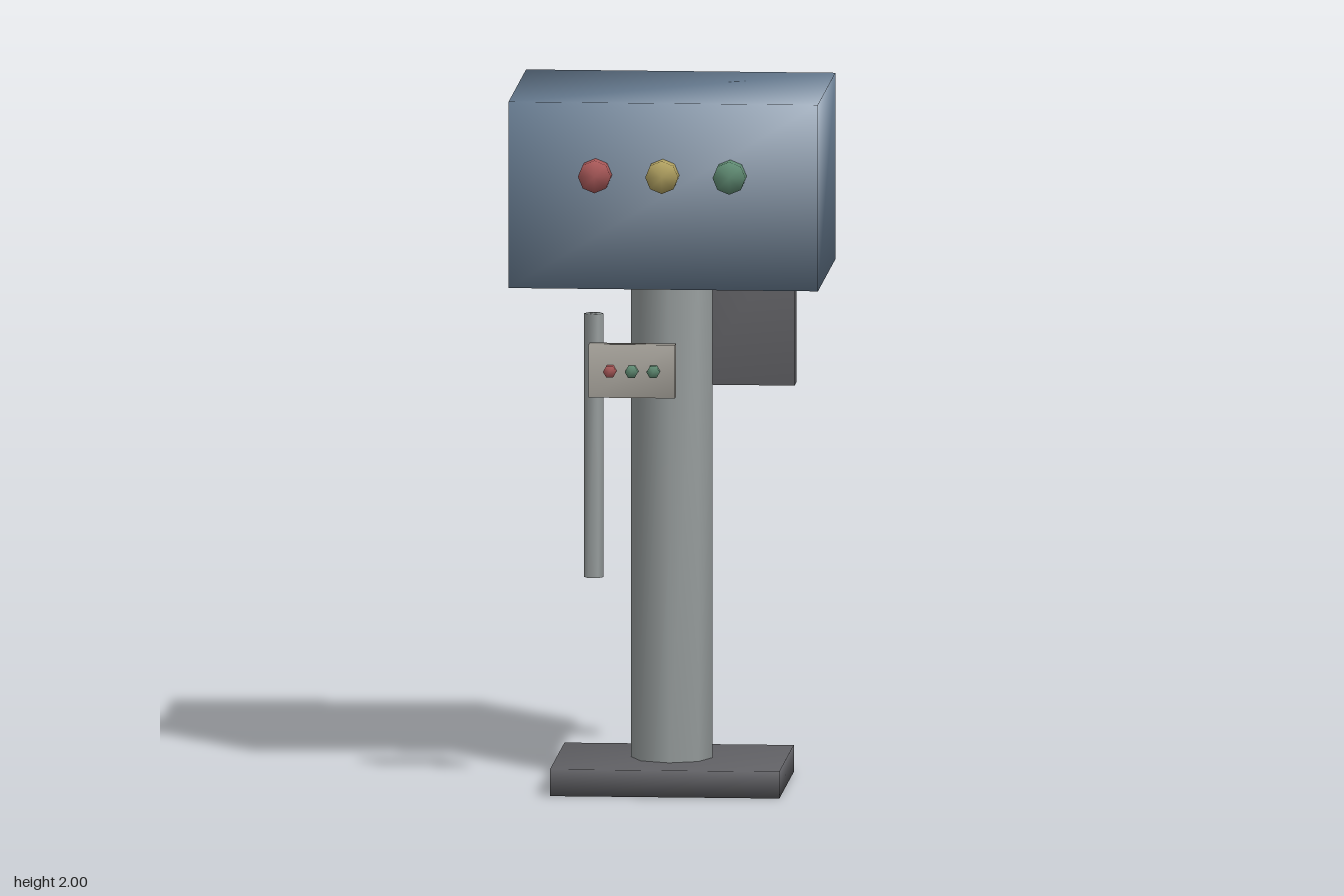
import * as THREE from 'three';
import { mergeVertices } from 'three/addons/utils/BufferGeometryUtils.js';

const material = (color) => new THREE.MeshStandardMaterial({ color });
const blue = material(0x6b8096), steel = material(0x969c9c), dark = material(0x606064);
const pale = material(0xaaa69e), red = material(0xa85858), yellow = material(0xb0a060), green = material(0x5f8a72);

// Share corners between faces so the shading runs softly round every edge
function soften(geometry) {
  geometry.deleteAttribute('normal');
  geometry.deleteAttribute('uv');
  const merged = mergeVertices(geometry, 1e-4);
  merged.computeVertexNormals();
  return merged;
}

function part(name, geometry, mat, x, y, z) {
  const mesh = new THREE.Mesh(soften(geometry), mat);
  mesh.name = name;
  mesh.position.set(x, y, z);
  return mesh;
}

// Box given by its limits on each axis
function box(name, mat, [x0, x1], [y0, y1], [z0, z1]) {
  return part(name, new THREE.BoxGeometry(x1 - x0, y1 - y0, z1 - z0), mat,
    (x0 + x1) / 2, (y0 + y1) / 2, (z0 + z1) / 2);
}

// Upright prism with a corner on the x axis
function column(name, mat, radius, sides, x, z, y0, y1) {
  const geometry = new THREE.CylinderGeometry(radius, radius, y1 - y0, sides).rotateY(Math.PI / 2);
  return part(name, geometry, mat, x, (y0 + y1) / 2, z);
}

// Round button facing the front
function button(name, mat, radius, sides, x, y, z0, z1) {
  const geometry = new THREE.CylinderGeometry(radius, radius, z1 - z0, sides)
    .rotateY(Math.PI / 2).rotateX(Math.PI / 2);
  return part(name, geometry, mat, x, y, (z0 + z1) / 2);
}

export function createModel() {
  const model = new THREE.Group();
  model.name = 'controlPost';

  // Stand
  model.add(
    box('base', dark, [-0.327, 0.327], [0, 0.077], [-0.302, 0.238]),
    column('post', steel, 0.116, 8, 0, -0.032, 0.06, 1.5),
  );

  // Head with its large lamps
  model.add(box('head', blue, [-0.441, 0.441], [1.465, 2], [-0.362, 0.29]));
  [red, yellow, green].forEach((mat, i) => {
    model.add(button('lamp', mat, 0.047, 8, -0.193 + i * 0.192, 1.793, 0.245, 0.335));
  });

  // Small control plate floating in front
  model.add(box('controlPlate', pale, [-0.206, 0.04], [1.165, 1.318], [0.34, 0.374]));
  [red, green, green].forEach((mat, i) => {
    model.add(button('plateButton', mat, 0.019, 6, -0.145 + i * 0.062, 1.242, 0.357, 0.394));
  });

  // Back panel and hanging rod
  model.add(
    box('backPanel', dark, [0.026, 0.327], [1.105, 1.54], [-0.394, -0.33]),
    column('rod', steel, 0.028, 6, -0.248, -0.362, 0.545, 1.302),
  );
  return model;
}
